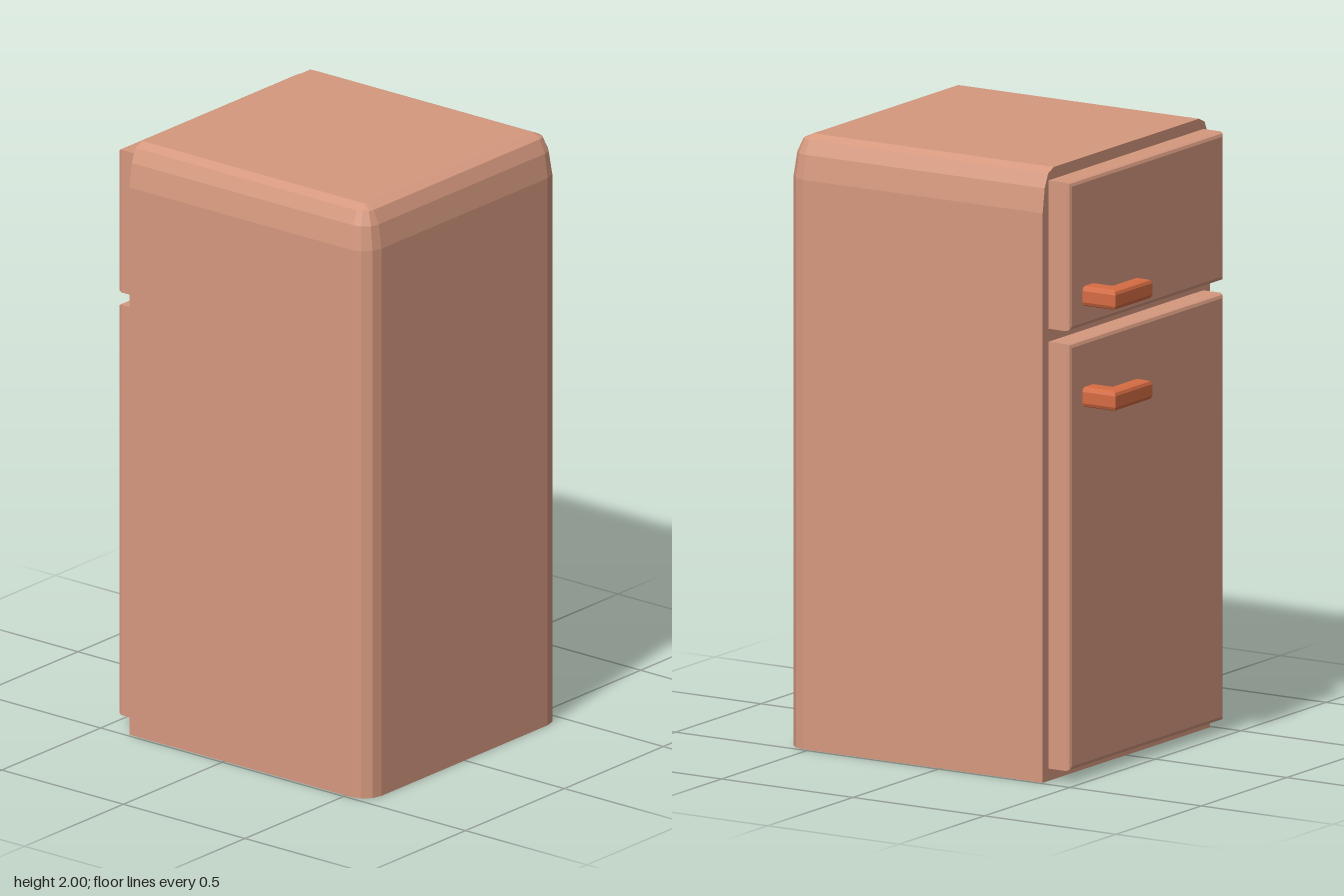
import * as THREE from 'three';

const V = (x, y, z) => new THREE.Vector3(x, y, z);

// Faceted solid through a stack of convex rings, closed at both ends.
// Rings run counter-clockwise as seen from the last ring's side.
function loft(rings) {
  const pos = [];
  const tri = (a, b, c) => pos.push(...a.toArray(), ...b.toArray(), ...c.toArray());
  const n = rings[0].length;
  for (let k = 0; k < rings.length - 1; k++) {
    for (let i = 0; i < n; i++) {
      const j = (i + 1) % n;
      tri(rings[k][i], rings[k][j], rings[k + 1][j]);
      tri(rings[k][i], rings[k + 1][j], rings[k + 1][i]);
    }
  }
  const first = rings[0], last = rings[rings.length - 1];
  for (let i = 1; i < n - 1; i++) {
    tri(first[0], first[i + 1], first[i]);
    tri(last[0], last[i], last[i + 1]);
  }
  const geo = new THREE.BufferGeometry();
  geo.setAttribute('position', new THREE.Float32BufferAttribute(pos, 3));
  geo.computeVertexNormals();
  return geo;
}

// Cabinet cross-section: square at the door side, rounded at the back corners
function cabinetRing(y, inset) {
  const r = 0.07 - inset, steps = 3;
  const ring = [V(-0.39, y, 0.42 + r)];
  for (const side of [1, -1]) {
    for (let i = 0; i <= steps; i++) {
      const t = (side > 0 ? 1 - i / steps : i / steps) * Math.PI / 2;
      ring.push(V(0.52 + r * Math.cos(t), y, side * (0.42 + r * Math.sin(t))));
    }
  }
  ring.push(V(-0.39, y, -0.42 - r));
  return ring;
}

// Door slab facing -x with a small bevel round its outer face
function doorGeometry(y0, y1) {
  const z0 = -0.455, z1 = 0.45;
  return loft([[-0.385, 0], [-0.456, 0], [-0.466, 0.004], [-0.47, 0.014]].map(([x, d]) => [
    V(x, y0 + d, z0 + d), V(x, y0 + d, z1 - d), V(x, y1 - d, z1 - d), V(x, y1 - d, z0 + d),
  ]));
}

// L-shaped bar handle, drawn in plan and extruded upwards
function handleGeometry() {
  const bevel = 0.014, height = 0.065;
  const plan = [[-0.45, -0.38], [-0.45, -0.303], [-0.53, -0.303],
    [-0.53, -0.163], [-0.595, -0.163], [-0.595, -0.38]];
  const shape = new THREE.Shape(plan.map(([x, z]) => new THREE.Vector2(x, z)));
  const geo = new THREE.ExtrudeGeometry(shape, {
    depth: height - 2 * bevel, bevelThickness: bevel, bevelSize: bevel,
    bevelOffset: -bevel, bevelSegments: 2,
  });
  geo.translate(0, 0, bevel - height / 2);
  geo.rotateX(Math.PI / 2);
  return geo;
}

export function createModel() {
  const group = new THREE.Group();
  const enamel = new THREE.MeshStandardMaterial({ color: 0xd6997f });
  enamel.name = 'enamel';
  const handlePaint = new THREE.MeshStandardMaterial({ color: 0xd66c43 });
  handlePaint.name = 'handlePaint';

  const add = (name, geo, mat, y = 0) => {
    const mesh = new THREE.Mesh(geo, mat);
    mesh.name = name;
    mesh.position.y = y;
    group.add(mesh);
  };

  // Cabinet with a softened top edge
  const levels = [[0, 0], [1.86, 0], [1.94, 0.012], [1.985, 0.032], [2, 0.065]];
  add('cabinet', loft(levels.map(([y, inset]) => cabinetRing(y, inset))), enamel);

  // Doors
  add('fridgeDoor', doorGeometry(0.04, 1.435), enamel);
  add('freezerDoor', doorGeometry(1.477, 1.962), enamel);

  // Handles
  const handle = handleGeometry();
  add('fridgeHandle', handle, handlePaint, 1.248);
  add('freezerHandle', handle, handlePaint, 1.578);
  return group;
}
